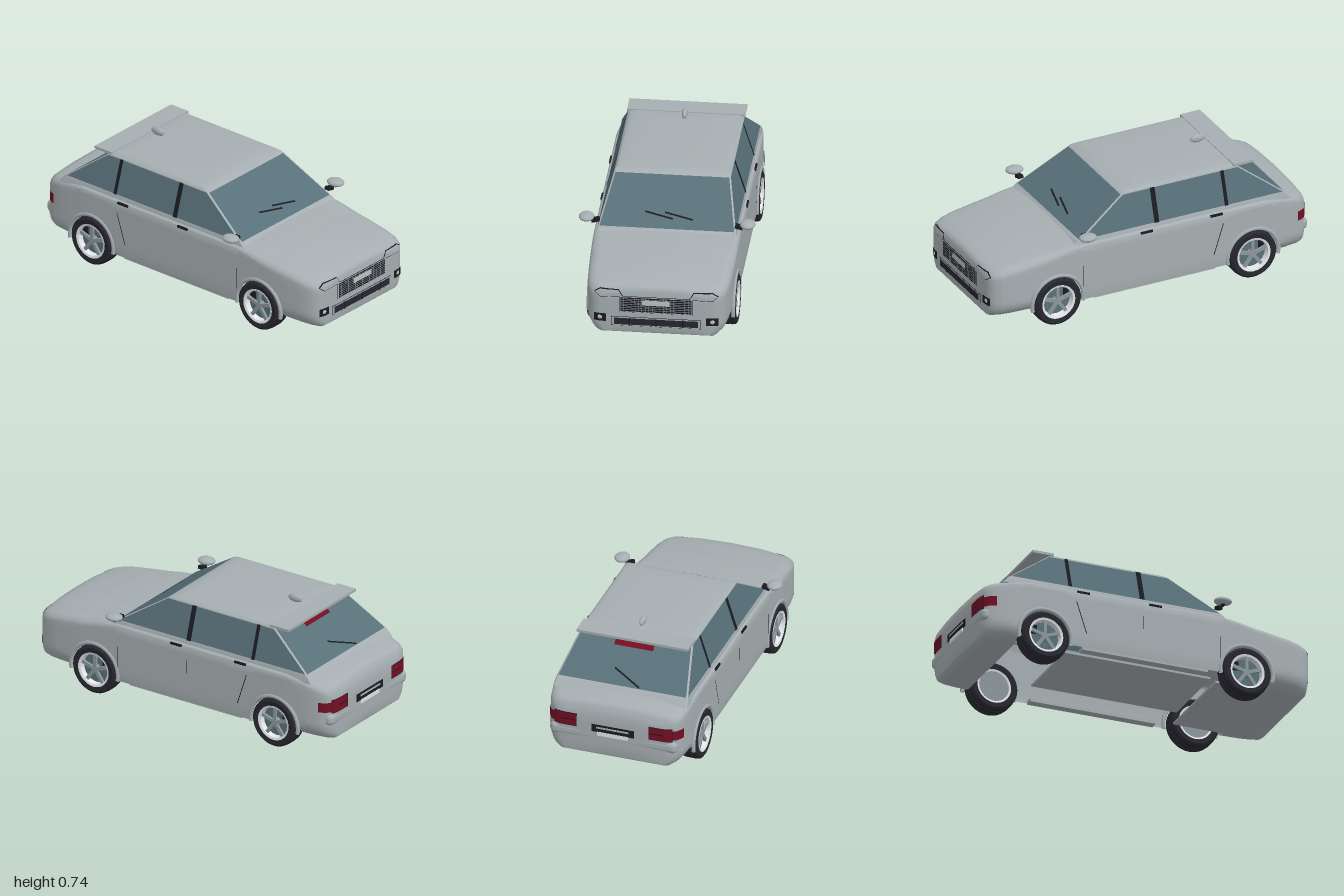
import * as THREE from 'three';
import { toCreasedNormals } from 'three/addons/utils/BufferGeometryUtils.js';
import { RoundedBoxGeometry } from 'three/addons/geometries/RoundedBoxGeometry.js';

const paint = (name, color) => new THREE.MeshStandardMaterial({ name, color, side: THREE.DoubleSide });
const BODY = paint('bodyGrey', 0xa6aeb1), GLASS = paint('tintedGlass', 0x587079), BLACK = paint('blackTrim', 0x1a1a22),
  TYRE = paint('tyreRubber', 0x26262f), RED = paint('lampRed', 0x740e22), LIGHT = paint('brightSilver', 0xe4e8e9),
  PLATE = paint('plateGrey', 0xbac3bf), RIM = paint('alloyGrey', 0x8c979c);

const WHEELS = [0.59, -0.63], AXLE_Y = 0.145, ARCH = 0.153;
// Body stations: z, half width, top height
const STATIONS = [[0.99, 0.325, 0.385], [0.985, 0.345, 0.397], [0.965, 0.37, 0.408], [0.92, 0.388, 0.42],
  [0.85, 0.398, 0.433], [0.7, 0.405, 0.455], [0.55, 0.408, 0.469], [0.45, 0.408, 0.474], [-0.7, 0.408, 0.472],
  [-0.85, 0.402, 0.462], [-0.93, 0.388, 0.45], [-0.965, 0.368, 0.438], [-0.98, 0.345, 0.42], [-0.988, 0.325, 0.39]];

// Surface through equal-length rows of points, leaving out the quads that keep() rejects
function loft(rows, keep = () => true) {
  const n = rows[0].length, index = [];
  for (let i = 0; i < rows.length - 1; i++)
    for (let j = 0; j < n - 1; j++) {
      const a = i * n + j, b = a + n;
      if (keep(i, j)) index.push(a, b, a + 1, b, b + 1, a + 1);
    }
  const g = new THREE.BufferGeometry();
  g.setAttribute('position', new THREE.Float32BufferAttribute(rows.flat(2), 3));
  g.setIndex(index);
  return g;
}

// Full cross-section of the lower body at z, with the wheel arches cut into its lower edge
function section(z) {
  let i = 0;
  while (i < STATIONS.length - 2 && STATIONS[i + 1][0] > z) i++;
  const [z0, w0, t0] = STATIONS[i], [z1, w1, t1] = STATIONS[i + 1];
  const f = (z0 - z) / (z0 - z1), w = w0 + (w1 - w0) * f, top = t0 + (t1 - t0) * f;
  const bumper = z > WHEELS[0] + ARCH || z < WHEELS[1] - ARCH;
  let low = (bumper ? 0.097 : 0.116) + 0.02 * Math.max(0, (Math.abs(z) - 0.93) / 0.06) ** 2;
  for (const c of WHEELS) if (Math.abs(z - c) < ARCH) low = AXLE_Y + Math.sqrt(ARCH ** 2 - (z - c) ** 2);
  // The shoulder is tight along the doors and softer over the bonnet and tail
  const soft = THREE.MathUtils.smoothstep(Math.abs(z + 0.15), 0.55, 0.85);
  const tuck = bumper ? 0.25 : 0.03, rx = 0.035 + 0.035 * soft, ry = 0.022 + 0.023 * soft, crown = 0.01 + 0.008 * soft;
  const shoulder = top - crown - ry, half = [];
  for (let k = 0; k <= 14; k++) {
    const y = low + (shoulder - low) * (k / 14) ** 1.7, t = THREE.MathUtils.clamp((0.2 - y) / 0.104, 0, 1);
    half.push([w * (1 - tuck * (1 - Math.sqrt(1 - t * t))), y, z]);
  }
  for (let k = 1; k <= 6; k++) {
    const a = k * Math.PI / 12;
    half.push([w - rx + rx * Math.cos(a), shoulder + ry * Math.sin(a), z]);
  }
  half.push([w * 0.5, top - crown * 0.3, z], [0, top, z]);
  half.unshift([bumper ? 0 : half[0][0], low, z]);
  return [...half, ...half.slice(0, -1).reverse().map(([x, y, q]) => [-x, y, q])];
}

function lowerBody() {
  const zs = STATIONS.map(s => s[0]);
  for (const c of WHEELS) {
    zs.push(c + ARCH + 0.002, c - ARCH - 0.002);
    for (let k = 0; k <= 20; k++) zs.push(c + ARCH * 0.9999 * Math.cos(k * Math.PI / 20));
  }
  for (let z = -0.4; z < 0.4; z += 0.1) zs.push(z);
  zs.sort((a, b) => b - a);
  const rows = zs.map(section);
  // Rounded closing faces at the nose and tail
  const cap = (row, s) => [[0, 0.006], [0.5, 0.005], [0.95, 0.003]].map(([k, d]) =>
    row.map(([x, y, z]) => [x * k, 0.25 + (y - 0.25) * k, z + s * d]));
  const all = [...cap(rows[0], 1), ...rows, ...cap(rows.at(-1), -1).reverse()];
  // The deck is open beneath the cabin
  const inCabin = z => z > -0.8 && z < 0.44;
  const keep = (i, j) => j < 21 || j > 24 || !inCabin(all[i][23][2]) || !inCabin(all[i + 1][23][2]);
  return toCreasedNormals(loft(all, keep), 0.75);
}

// Cabin: rings of height, half width, front z, rear z; the flat faces of the tall band are glass
function cabin(glass) {
  const rings = [[0.435, 0.396, 0.5, -0.88], [0.475, 0.389, 0.455, -0.845], [0.483, 0.386, 0.443, -0.834],
    [0.671, 0.327, 0.154, -0.583], [0.677, 0.325, 0.145, -0.575], [0.688, 0.312, 0.12, -0.56],
    [0.694, 0.285, 0.07, -0.54], [0.698, 0.12, 0, -0.45], [0.699, 0, -0.2, -0.2]];
  const rows = rings.map(([y, w, f, b]) => {
    const c = Math.min(0.009, w);
    return [[w, f - c], [w - c, f], [c - w, f], [-w, f - c], [-w, b + c], [c - w, b], [w - c, b], [w, b + c], [w, f - c]]
      .map(([x, z]) => [x, y, z]);
  });
  return toCreasedNormals(loft(rows, (i, j) => (i === 2 && j % 2 === 1) === glass), 0.45);
}

function wheel() {
  const g = new THREE.Group();
  const lathe = (pts, mat, name) => {
    const geo = new THREE.LatheGeometry(pts.map(p => new THREE.Vector2(...p)), 40).rotateZ(-Math.PI / 2);
    const m = new THREE.Mesh(toCreasedNormals(geo, 0.6), mat);
    m.name = name;
    g.add(m);
  };
  lathe([[0.1, -0.047], [0.13, -0.052], [0.142, -0.043], [0.145, -0.02], [0.14, -0.018], [0.14, -0.014], [0.145, -0.012],
    [0.145, 0.012], [0.14, 0.014], [0.14, 0.018], [0.145, 0.02], [0.142, 0.043], [0.13, 0.052], [0.1, 0.047]], TYRE, 'tyre');
  lathe([[0.09, -0.045], [0.102, -0.049], [0.102, 0.049], [0.103, 0.051], [0.09, 0.047], [0.086, 0.015]], LIGHT, 'rim');
  lathe([[0, 0.012], [0.09, 0.012]], GLASS, 'brakeDisc');
  lathe([[0, -0.025], [0.095, -0.025]], RIM, 'innerDisc');
  lathe([[0, 0.04], [0.018, 0.04], [0.024, 0.032], [0.024, 0.012]], RIM, 'hub');
  for (let k = 0; k < 5; k++) {
    const spoke = new THREE.Mesh(new THREE.BoxGeometry(0.014, 0.078, 0.02).translate(0.033, 0.056, 0), RIM);
    spoke.rotation.x = k * Math.PI * 0.4;
    spoke.name = 'spoke';
    g.add(spoke);
  }
  const caliper = new THREE.Mesh(new THREE.BoxGeometry(0.012, 0.05, 0.034), BLACK);
  caliper.position.set(0.018, 0.036, -0.062);
  caliper.name = 'brakeCaliper';
  g.add(caliper);
  return g;
}

export function createModel() {
  const car = new THREE.Group();
  car.name = 'car';
  const add = (name, geo, mat, x = 0, y = 0, z = 0, rz = 0) => {
    const m = new THREE.Mesh(geo, mat);
    m.name = name;
    m.position.set(x, y, z);
    m.rotation.z = rz;
    car.add(m);
    return m;
  };
  const box = (w, h, d) => new THREE.BoxGeometry(w, h, d);
  const ball = (a, b, c) => new THREE.SphereGeometry(1, 24, 16).scale(a, b, c);
  const shell = [add('lowerBody', lowerBody(), BODY), add('cabinFrame', cabin(false), BODY), add('windows', cabin(true), GLASS)];

  // Thin panel laid on the shell along an axis; columns are [across, low, high, lean]
  const ray = new THREE.Raycaster();
  const drape = (name, mat, axis, s, cols, lift = 0.003) => {
    const rows = [];
    for (let i = 0; i < cols.length - 1; i++)
      for (let k = i ? 1 : 0; k <= 6; k++) {
        const [a, lo, hi, lean] = [0, 1, 2, 3].map(q => THREE.MathUtils.lerp(cols[i][q] || 0, cols[i + 1][q] || 0, k / 6));
        const row = [];
        for (let v = 0; v <= 6; v++) {
          const u = a + lean * v / 6, y = lo + (hi - lo) * v / 6;
          ray.set(axis === 'x' ? new THREE.Vector3(3 * s, y, u) : new THREE.Vector3(u, y, 3 * s),
            axis === 'x' ? new THREE.Vector3(-s, 0, 0) : new THREE.Vector3(0, 0, -s));
          const hit = ray.intersectObjects(shell, false)[0];
          const p = hit ? hit.point : new THREE.Vector3(axis === 'x' ? s * 0.4 : u, y, axis === 'x' ? u : s * 0.95);
          p[axis] += s * lift;
          row.push(p.toArray());
        }
        rows.push(row);
      }
    const geo = loft(rows);
    geo.computeVertexNormals();
    add(name, geo, mat);
  };
  const rect = (a, b, lo, hi) => [[a, lo, hi], [b, lo, hi]];
  const flip = (cols, s) => cols.map(([a, lo, hi]) => [a * s, lo, hi]);

  // Wipers and high brake lamp
  drape('wiper', BLACK, 'z', 1, [[-0.13, 0.54, 0.546], [0.03, 0.518, 0.524]], 0.009);
  drape('wiper', BLACK, 'z', 1, [[-0.02, 0.54, 0.546], [0.14, 0.518, 0.524]], 0.009);
  drape('rearWiper', BLACK, 'z', -1, [[-0.1, 0.488, 0.495], [0.07, 0.545, 0.552]], 0.012);
  drape('highBrakeLamp', RED, 'z', -1, rect(-0.115, 0.115, 0.628, 0.65), 0.007);

  // Nose: grille, plate and lower intake
  drape('grilleEdge', BLACK, 'z', 1, rect(-0.207, 0.207, 0.243, 0.342), 0.001);
  drape('grilleFrame', BODY, 'z', 1, rect(-0.205, 0.205, 0.245, 0.34), 0.003);
  drape('grille', BLACK, 'z', 1, rect(-0.198, 0.198, 0.25, 0.336), 0.005);
  for (let k = 1; k < 8; k++) drape('grilleSlat', RIM, 'z', 1, rect(-0.197, 0.197, 0.249 + k * 0.011, 0.2525 + k * 0.011), 0.007);
  for (let k = -9; k <= 9; k++) drape('grilleBar', RIM, 'z', 1, rect(k * 0.02 - 0.001, k * 0.02 + 0.001, 0.251, 0.335), 0.006);
  drape('frontPlate', PLATE, 'z', 1, rect(-0.077, 0.077, 0.293, 0.325), 0.009);
  drape('intakeEdge', BLACK, 'z', 1, rect(-0.252, 0.252, 0.157, 0.214), 0.002);
  drape('intakeFrame', BODY, 'z', 1, rect(-0.25, 0.25, 0.159, 0.212), 0.004);
  drape('lowerIntake', TYRE, 'z', 1, rect(-0.236, 0.236, 0.166, 0.206), 0.006);
  for (const x of [-0.15, 0, 0.15]) drape('intakeBar', BLACK, 'z', 1, rect(x - 0.004, x + 0.004, 0.162, 0.21), 0.008);

  // Tail: bumper and plate
  add('rearBumper', new RoundedBoxGeometry(0.75, 0.075, 0.1, 3, 0.03), BODY, 0, 0.232, -0.944);
  add('plateRecess', box(0.25, 0.045, 0.008), BLACK, 0, 0.282, -0.993);
  add('plateLampBar', box(0.19, 0.01, 0.004), BODY, 0, 0.288, -0.998);
  add('rearPlate', box(0.18, 0.024, 0.006), LIGHT, 0, 0.25, -0.996);

  for (const s of [1, -1]) {
    // Side pillars
    drape('middlePillar', BLACK, 'x', s, rect(-0.022, -0.052, 0.482, 0.675), 0.004);
    drape('rearPillar', BLACK, 'x', s, rect(-0.462, -0.484, 0.482, 0.675), 0.004);
    // Door seams and handles
    drape('frontDoorSeam', BLACK, 'x', s, rect(0.431, 0.428, 0.2, 0.33), 0.002);
    drape('middleDoorSeam', BLACK, 'x', s, rect(-0.038, -0.041, 0.29, 0.37), 0.002);
    drape('rearDoorSeam', BLACK, 'x', s, [[-0.38, 0.2, 0.385, -0.06], [-0.385, 0.2, 0.385, -0.06]], 0.002);
    for (const z of [0.035, -0.4]) add('doorHandle', box(0.012, 0.012, 0.075), BLACK, s * 0.406, 0.447, z);
    // Lamps
    const lamp = [[0.185, 0.338, 0.342], [0.21, 0.335, 0.381], [0.315, 0.332, 0.381], [0.347, 0.358, 0.362]];
    const lens = [[0.189, 0.34, 0.342], [0.212, 0.339, 0.377], [0.314, 0.336, 0.377], [0.342, 0.358, 0.361]];
    drape('headlampEdge', BLACK, 'z', 1, flip(lamp, s), 0.002);
    drape('headlamp', BODY, 'z', 1, flip(lens, s), 0.005);
    drape('fogLampRecess', BLACK, 'z', 1, flip(rect(0.28, 0.348, 0.18, 0.228), s));
    add('fogLamp', ball(0.016, 0.016, 0.008), PLATE, s * 0.313, 0.204, 0.99);
    drape('tailLampEdge', BLACK, 'z', -1, flip(rect(0.212, 0.35, 0.27, 0.352), s), 0.002);
    drape('tailLamp', RED, 'z', -1, flip(rect(0.217, 0.348, 0.274, 0.348), s), 0.004);
    drape('tailLampBar', BLACK, 'z', -1, flip(rect(0.217, 0.3, 0.308, 0.314), s), 0.006);
    drape('tailLampSide', RED, 'x', s, rect(-0.918, -0.983, 0.28, 0.338), 0.004);
    drape('bumperSide', BODY, 'x', s, rect(-0.845, -0.96, 0.2, 0.27), 0.008);
    // Door mirrors
    add('mirror', ball(0.043, 0.021, 0.052), BODY, s * 0.451, 0.528, 0.425);
    add('mirrorFoot', new THREE.ConeGeometry(0.025, 0.025, 12).rotateX(Math.PI), BLACK, s * 0.451, 0.506, 0.425);
    add('mirrorArm', box(0.045, 0.02, 0.03), BLACK, s * 0.402, 0.508, 0.42, -s * 0.25);
    add('sill', box(0.05, 0.02, 0.76), BODY, s * 0.37, 0.115, -0.02);
    // Wheels and arch lips
    for (const z of WHEELS) {
      const w = wheel();
      w.name = 'wheel';
      w.position.set(s * 0.366, AXLE_Y, z);
      w.scale.x = s;
      car.add(w);
      add('archLip', new THREE.TorusGeometry(ARCH + 0.006, 0.012, 8, 32, Math.PI * 1.12).rotateZ(-Math.PI * 0.06)
        .rotateY(Math.PI / 2), BODY, s * 0.404, AXLE_Y, z);
    }
  }

  // Roof fittings and underside
  add('roofSpoiler', box(0.66, 0.015, 0.125), BODY, 0, 0.688, -0.61);
  add('roofAerial', ball(0.016, 0.024, 0.046), BODY, 0, 0.718, -0.49);
  add('floor', box(0.48, 0.012, 0.88), BODY, 0, 0.15, 0);
  add('noseTray', box(0.6, 0.012, 0.33), BODY, 0, 0.104, 0.61);
  return car;
}
